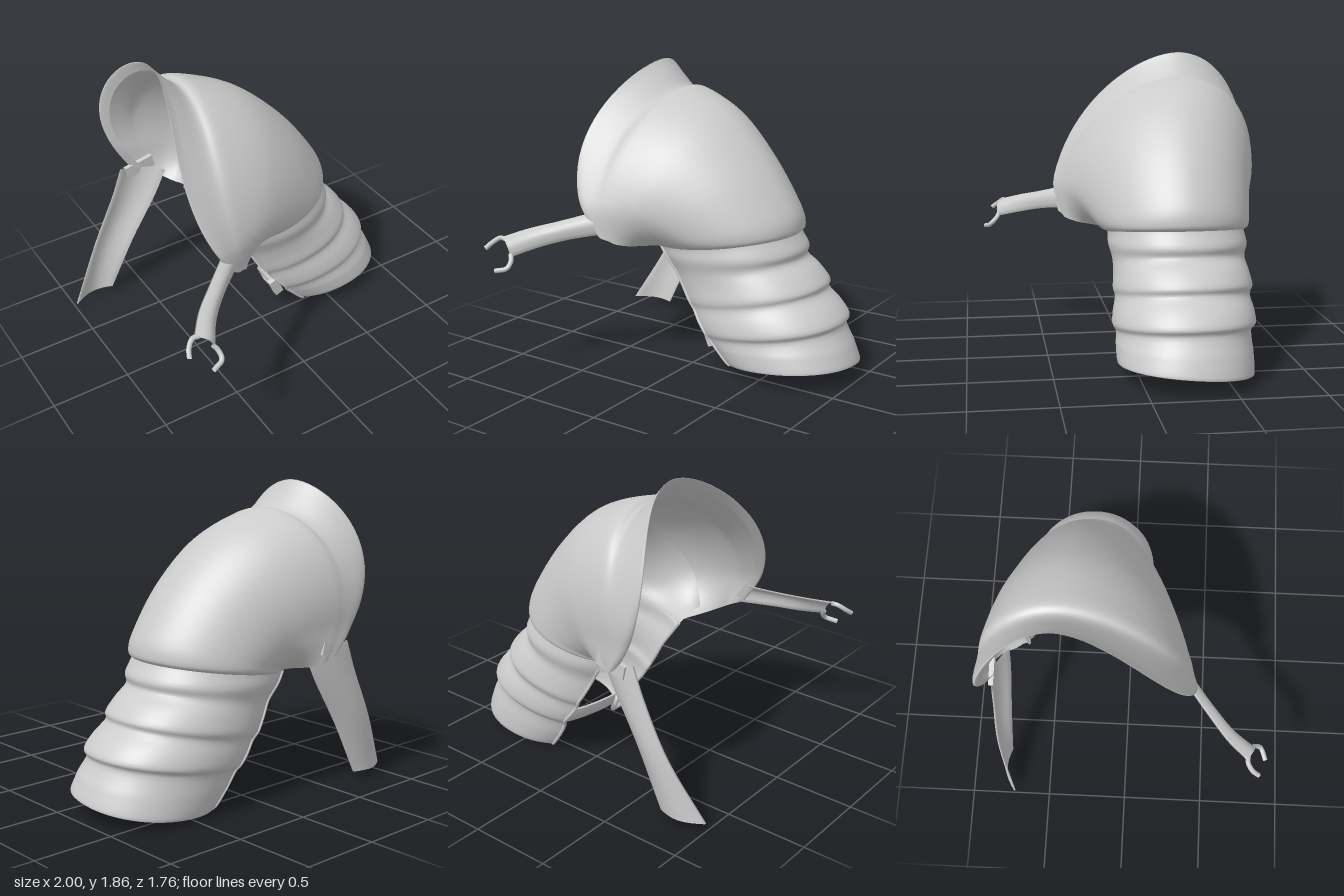
import * as THREE from 'three';

const material = new THREE.MeshStandardMaterial({ color: 0xcccccc, side: THREE.DoubleSide });
const V = (p) => new THREE.Vector3(...p);

function mesh(name, geometry) {
  const m = new THREE.Mesh(geometry, material);
  m.name = name;
  return m;
}

// Skin a list of point rows with a smooth open surface
function loft(rows) {
  const cols = rows[0].length, pos = [], idx = [];
  rows.forEach((r) => r.forEach((p) => pos.push(p.x, p.y, p.z)));
  for (let i = 0; i < rows.length - 1; i++) {
    for (let j = 0; j < cols - 1; j++) {
      const a = i * cols + j, b = a + cols;
      idx.push(a, b, a + 1, b, b + 1, a + 1);
    }
  }
  const g = new THREE.BufferGeometry();
  g.setAttribute('position', new THREE.Float32BufferAttribute(pos, 3));
  g.setIndex(idx);
  g.computeVertexNormals();
  return g;
}

// Smoothly blend a table of section parameters
function refine(table, sub) {
  const out = [], last = table.length - 1;
  for (let k = 0; k <= last * sub; k++) {
    const i = Math.min(Math.floor(k / sub), last - 1), t = k / sub - i;
    const [p0, p1, p2, p3] = [-1, 0, 1, 2].map((d) => table[Math.min(last, Math.max(0, i + d))]);
    out.push(p1.map((v, c) => v + 0.5 * t * (p2[c] - p0[c] + t * (2 * p0[c] - 5 * v + 4 * p2[c] - p3[c]
      + t * (3 * (v - p2[c]) + p3[c] - p0[c])))));
  }
  return out;
}

// C-shaped section: crest, inner edge, z range, wrap angle, squareness, sideways bulge, crest skew, tilt
function section([cx, cy, ix, iy, zf, zb, wrap, n, bulge, skew, tilt], steps = 48) {
  const pw = (v) => Math.sign(v) * Math.abs(v) ** (2 / n);
  const s = pw(Math.sin(wrap)), bx = (ix + cx * s) / (1 + s), by = (iy + cy * s) / (1 + s);
  const row = [];
  for (let k = 0; k <= steps; k++) {
    const t = -wrap + (Math.PI + 2 * wrap) * k / steps;
    const a = pw(Math.cos(t)), b = pw(Math.sin(t)), h = (b + s) / (1 + s);
    row.push(new THREE.Vector3(
      bx + (cx - bx) * b + bulge * 4 * h * (1 - h),
      by + (cy - by) * b + tilt * a,
      (zf + zb) / 2 + (zf - zb) / 2 * a + skew * Math.max(b, 0)));
  }
  return row;
}

function tube(name, points, radius, segments = 24) {
  return mesh(name, new THREE.TubeGeometry(new THREE.CatmullRomCurve3(points), segments, radius, 8));
}

// Strap between two edge paths, arched by the bow vector
function band(name, left, right, bow, thickness = 0.012) {
  const [l, r] = [left, right].map((e) => new THREE.CatmullRomCurve3(e.map(V)).getPoints(16));
  const out = V(bow).normalize().multiplyScalar(thickness);
  const rows = l.map((p, i) => {
    const top = [];
    for (let k = 0; k <= 8; k++) {
      top.push(p.clone().lerp(r[i], k / 8).addScaledVector(V(bow), Math.sin(Math.PI * k / 8)));
    }
    const under = top.map((q) => q.clone().sub(out)).reverse();
    return [...top, ...under, top[0].clone()];
  });
  return mesh(name, loft(rows));
}

export function createModel() {
  const group = new THREE.Group();
  group.name = 'shoulderArmor';

  // Shoulder dome: rolled neck lip, then sections fanning from the neck opening to the arm
  const dome = refine([
    [-0.46, 1.80, -0.42, 0.91, 0.37, -0.81, 0.25, 1.85, -0.16, -0.17, 0],
    [-0.50, 1.86, -0.46, 0.88, 0.40, -0.85, 0.25, 1.85, -0.17, -0.18, 0],
    [-0.45, 1.80, -0.42, 0.85, 0.42, -0.87, 0.25, 1.85, -0.16, -0.18, 0],
    [-0.34, 1.69, -0.37, 0.83, 0.40, -0.86, 0.28, 1.95, -0.11, -0.16, 0],
    [-0.25, 1.70, -0.33, 0.81, 0.38, -0.85, 0.30, 2.0, -0.07, -0.15, 0],
    [0.05, 1.575, -0.28, 0.79, 0.33, -0.82, 0.40, 1.9, -0.02, -0.10, 0],
    [0.33, 1.32, -0.24, 0.78, 0.27, -0.77, 0.50, 1.85, 0, -0.06, 0],
    [0.54, 1.03, -0.20, 0.77, 0.21, -0.74, 0.60, 1.85, 0, -0.03, 0],
    [0.58, 0.90, -0.20, 0.76, 0.17, -0.73, 0.65, 1.95, 0, -0.01, 0],
    [0.555, 0.86, -0.19, 0.75, 0.13, -0.71, 0.65, 2.0, 0, 0, 0],
  ], 5).map((s) => section(s));
  group.add(mesh('shoulderDome', loft(dome)));

  // Arm guard: starts as a liner under the dome, then ridged plates and a turned-in cuff
  const guard = refine([
    [0.10, 1.47, -0.24, 0.83, 0.28, -0.77, 0.45, 1.9, 0, -0.08, 0],
    [0.30, 1.27, -0.23, 0.82, 0.23, -0.74, 0.5, 1.9, 0, -0.05, 0],
    [0.50, 1.01, -0.21, 0.80, 0.18, -0.71, 0.6, 1.9, 0, -0.02, 0],
    [0.545, 0.87, -0.20, 0.76, 0.13, -0.70, 0.6, 2.1, 0, 0, 0],
    [0.605, 0.77, -0.15, 0.69, 0.13, -0.71, 0.6, 2.1, 0, 0, 0],
    [0.60, 0.71, -0.09, 0.60, 0.11, -0.69, 0.6, 2.1, 0, 0, 0],
    [0.68, 0.65, -0.04, 0.51, 0.11, -0.70, 0.6, 2.15, 0, 0, 0],
    [0.755, 0.57, 0.01, 0.43, 0.12, -0.71, 0.6, 2.15, 0, 0, 0],
    [0.755, 0.52, 0.04, 0.38, 0.11, -0.69, 0.6, 2.15, 0, 0, 0],
    [0.84, 0.45, 0.09, 0.31, 0.13, -0.70, 0.6, 2.15, 0, 0, 0],
    [0.905, 0.37, 0.14, 0.25, 0.14, -0.70, 0.6, 2.15, 0, 0, 0],
    [0.89, 0.32, 0.16, 0.21, 0.12, -0.67, 0.6, 2.15, 0, 0, 0],
    [0.95, 0.22, 0.21, 0.14, 0.13, -0.67, 0.65, 2.15, 0, 0, 0.02],
  ], 4).map((s) => section(s));
  const cuff = refine([
    [0.95, 0.22, 0.21, 0.14, 0.13, -0.67, 0.65, 2.15, 0, 0, 0.02],
    [0.995, 0.11, 0.30, 0.035, 0.13, -0.66, 0.7, 2.15, 0, 0, 0.035],
    [0.95, 0.13, 0.32, 0.065, 0.10, -0.62, 0.7, 2.15, 0, 0, 0.035],
  ], 5).map((s) => section(s));
  const arm = [...guard, ...cuff.slice(1)];
  group.add(mesh('armGuard', loft(arm)));

  // Rolled edges along both sides of the arm opening
  for (const [name, k] of [['frontGuardEdge', 0], ['backGuardEdge', 48]]) {
    group.add(tube(name, arm.slice(12).map((r) => r[k]), 0.01, 40));
  }

  // Wide hanging strap at the back
  group.add(band('backStrap',
    [[-0.56, 0.92, -0.82], [-0.63, 0.74, -0.82], [-0.79, 0.42, -0.81], [-1.0, 0.05, -0.73]],
    [[-0.28, 0.86, -0.75], [-0.36, 0.70, -0.75], [-0.54, 0.40, -0.76], [-0.72, 0.05, -0.77]],
    [0, 0, -0.045]));
  const tab = mesh('strapTab', new THREE.BoxGeometry(0.2, 0.08, 0.03));
  tab.position.set(-0.42, 0.89, -0.83);
  tab.rotation.z = 0.2;
  group.add(tab);

  // Chest strap at the front, ending in two curved prongs
  group.add(band('frontStrap',
    [[-0.50, 0.99, 0.37], [-0.66, 0.94, 0.50], [-0.80, 0.90, 0.62], [-0.90, 0.86, 0.74]],
    [[-0.42, 0.87, 0.38], [-0.58, 0.84, 0.51], [-0.71, 0.80, 0.64], [-0.80, 0.76, 0.78]],
    [0.02, 0.02, 0.02]));
  group.add(tube('upperProng', [[-0.88, 0.85, 0.74], [-0.92, 0.85, 0.74], [-0.96, 0.82, 0.77], [-0.98, 0.79, 0.81]].map(V), 0.015));
  group.add(tube('lowerProng', [[-0.81, 0.77, 0.77], [-0.79, 0.74, 0.79], [-0.79, 0.70, 0.83], [-0.86, 0.68, 0.86]].map(V), 0.015));

  // Strap closing the arm opening
  group.add(band('armStrap',
    [[0.17, 0.29, -0.62], [0.13, 0.27, -0.42], [0.12, 0.26, -0.12], [0.17, 0.29, 0.06]],
    [[0.21, 0.20, -0.62], [0.17, 0.18, -0.42], [0.16, 0.17, -0.12], [0.21, 0.20, 0.06]],
    [-0.01, -0.005, 0]));

  // Buckle: square frame, pin and keeper loop
  const buckle = new THREE.Group();
  buckle.name = 'buckle';
  const frame = mesh('buckleFrame', new THREE.TorusGeometry(0.08, 0.018, 6, 4));
  frame.rotation.z = Math.PI / 4;
  const pin = mesh('bucklePin', new THREE.CylinderGeometry(0.012, 0.012, 0.13, 8));
  pin.rotation.z = Math.PI / 2;
  const keeper = mesh('buckleKeeper', new THREE.BoxGeometry(0.04, 0.13, 0.06));
  keeper.position.x = 0.1;
  buckle.add(frame, pin, keeper);
  buckle.position.set(0.12, 0.20, -0.12);
  buckle.rotation.set(0, -Math.PI / 2, 0.4, 'ZYX');
  group.add(buckle);

  return group;
}
